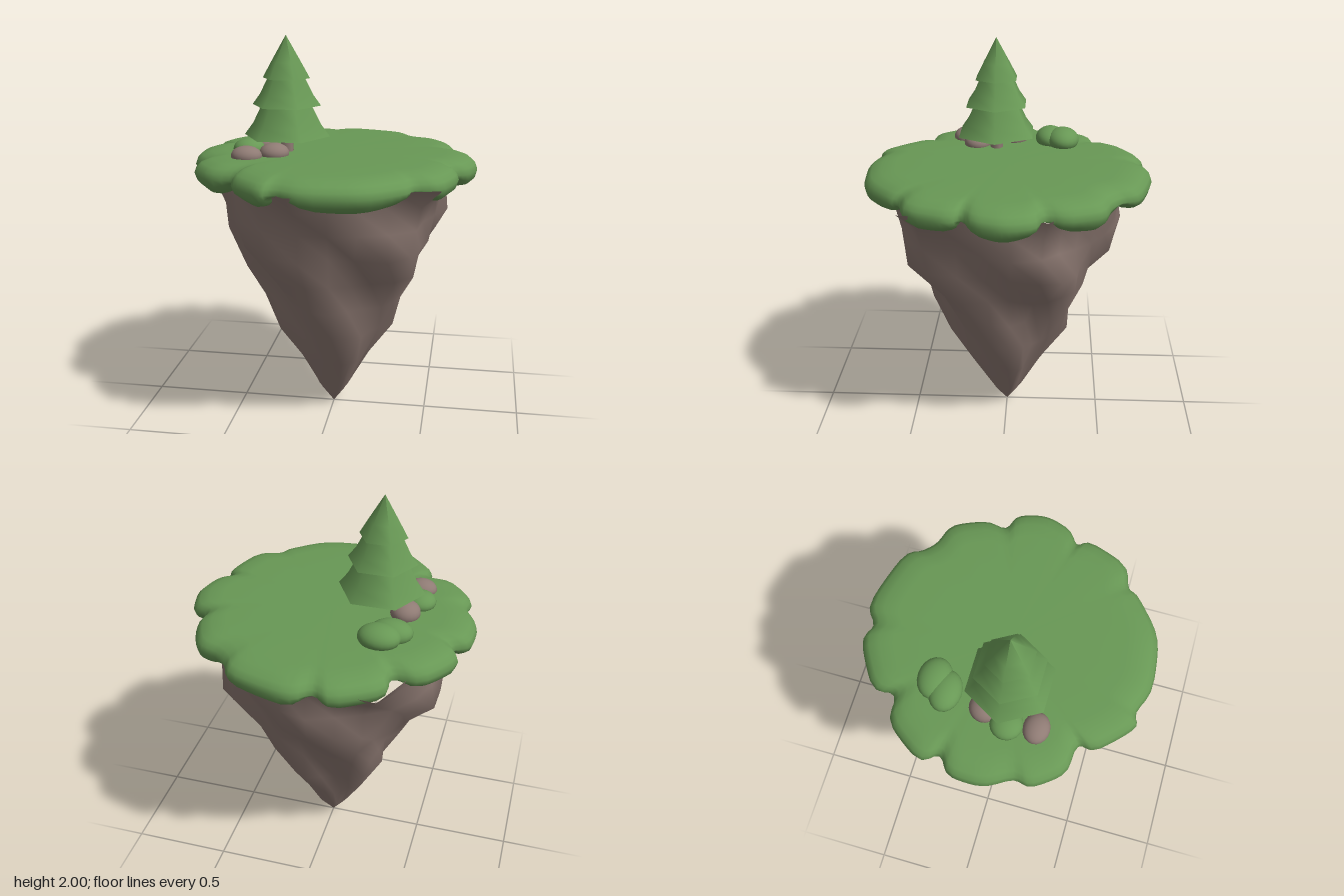
import * as THREE from 'three';

const grassGreen = new THREE.MeshStandardMaterial({ color: 0x689855, name: 'grass green' });
const stoneBrown = new THREE.MeshStandardMaterial({ color: 0x8f7b74, name: 'stone brown' });

// Skin closed loops of points, listed from top to bottom, sharing vertices for smooth normals
function loft(rings) {
  const n = rings[0].length;
  const index = [];
  for (let i = 0; i < rings.length - 1; i++) {
    for (let j = 0; j < n; j++) {
      const k = (j + 1) % n;
      const a = i * n + j, b = i * n + k, c = a + n, d = b + n;
      index.push(a, b, c, b, d, c);
    }
  }
  const geometry = new THREE.BufferGeometry();
  geometry.setAttribute('position', new THREE.Float32BufferAttribute(rings.flat(2), 3));
  geometry.setIndex(index);
  geometry.computeVertexNormals();
  return geometry;
}

function add(parent, name, geometry, material, x = 0, y = 0, z = 0) {
  const mesh = new THREE.Mesh(geometry, material);
  mesh.name = name;
  mesh.position.set(x, y, z);
  parent.add(mesh);
  return mesh;
}

// Rock cone: craggy corners flare out at the top, uneven bulges below
function rockGeometry() {
  const corners = [[10, 0.6], [40, 0.75], [70, 0.6], [99, 0.73], [140, 0.57], [180, 0.73],
    [210, 0.6], [240, 0.76], [268, 0.62], [295, 0.63], [320, 0.62], [341, 0.67]];
  const columns = [];
  corners.forEach(([angle, r], i) => {
    const [next, rNext] = corners[(i + 1) % corners.length];
    const end = next < angle ? next + 360 : next;
    columns.push([angle, r], [(angle + end) / 2, (r + rNext) / 2 - 0.02]);
  });
  // height, mean radius, share of the corner flare, bulge amount
  const rows = [[1.345, 0.64, 1, 0], [1.24, 0.585, 0.5, 0.01], [1.12, 0.56, 0.25, 0.025],
    [0.98, 0.53, 0.15, 0.04], [0.82, 0.435, 0.1, 0.03], [0.66, 0.355, 0.1, 0.025],
    [0.5, 0.3, 0.1, 0.025], [0.3, 0.185, 0.05, 0.015], [0.1, 0.075, 0, 0.005], [0, 0, 0, 0]];
  const rings = rows.map(([y, mean, flare, bulge], i) => columns.map(([deg, r]) => {
    const t = THREE.MathUtils.degToRad(deg);
    const wave = Math.sin(5 * t + i * 1.3) + 0.6 * Math.sin(8 * t - i * 2.1);
    const radius = mean + (r - 0.64) * flare + bulge * wave;
    return [Math.cos(t) * radius, y, Math.sin(t) * radius];
  }));
  return loft(rings);
}

// Grass: scalloped outline as [x, z, droop], droop being 0 in the notches
function grassGeometry() {
  const outline = [[0.73, -0.01, 1], [0.7, -0.14, 0.7], [0.61, -0.2, 0], [0.61, -0.33, 0.8],
    [0.55, -0.46, 1], [0.435, -0.515, 0.6], [0.37, -0.57, 0], [0.28, -0.67, 0.8], [0.06, -0.73, 1],
    [-0.09, -0.68, 0], [-0.22, -0.69, 0.9], [-0.37, -0.6, 0.8], [-0.41, -0.465, 0],
    [-0.565, -0.42, 0.8], [-0.66, -0.29, 0.9], [-0.635, -0.165, 0], [-0.715, -0.08, 0.8],
    [-0.72, 0.04, 1], [-0.65, 0.2, 0], [-0.65, 0.3, 0.7], [-0.565, 0.41, 1], [-0.41, 0.45, 0],
    [-0.39, 0.55, 0.7], [-0.27, 0.67, 0.9], [-0.17, 0.675, 0], [0.02, 0.72, 0.9], [0.22, 0.69, 1],
    [0.395, 0.57, 0.7], [0.455, 0.49, 0], [0.59, 0.41, 0.9], [0.64, 0.275, 0.8], [0.62, 0.18, 0],
    [0.7, 0.1, 0.8]];
  const curve = new THREE.CatmullRomCurve3(
    outline.reverse().map(([x, z, droop]) => new THREE.Vector3(x, droop, z)), true);
  const points = curve.getPoints(132).slice(0, -1);
  // scale of the outline, height, fall per unit of droop
  const section = [[0, 1.42, 0], [0.5, 1.42, 0], [0.78, 1.418, 0], [0.88, 1.41, 0],
    [0.95, 1.393, 0], [0.985, 1.37, 0], [1, 1.345, 0.005], [0.985, 1.335, 0.035],
    [0.94, 1.335, 0.065], [0.88, 1.335, 0.075], [0.8, 1.335, 0.06], [0.7, 1.335, 0]];
  return loft(section.map(([s, y, fall]) =>
    points.map(p => [p.x * s, y - fall * Math.max(p.y, 0), p.z * s])));
}

// Six-sided fir with three flared tiers
function createTree() {
  const tree = new THREE.Group();
  tree.name = 'tree';
  tree.position.set(-0.23, 0, 0.065);
  add(tree, 'trunk', new THREE.CylinderGeometry(0.03, 0.035, 0.18, 6), stoneBrown, 0, 1.48, 0);
  const tiers = [
    [[0.22, 1.5], [0.175, 1.56], [0.12, 1.67]],
    [[0.175, 1.655], [0.135, 1.71], [0.085, 1.81]],
    [[0.12, 1.79], [0.075, 1.87], [0, 2]],
  ];
  tiers.forEach((tier, i) => {
    const [rim, y] = tier[0];
    const skirt = tier.map(([r, h]) => new THREE.Vector2(r, h));
    add(tree, `foliageTier${i + 1}`, new THREE.LatheGeometry(skirt, 6, Math.PI / 2), grassGreen);
    const under = [new THREE.Vector2(0, y + 0.02), new THREE.Vector2(rim, y)];
    add(tree, `foliageUnderside${i + 1}`, new THREE.LatheGeometry(under, 6, Math.PI / 2), grassGreen);
  });
  return tree;
}

export function createModel() {
  const island = new THREE.Group();
  island.name = 'floatingIsland';
  add(island, 'rock', rockGeometry(), stoneBrown);
  add(island, 'grass', grassGeometry(), grassGreen);
  island.add(createTree());

  // Bushes and boulders: centre, then half sizes
  const blob = new THREE.SphereGeometry(1, 20, 14);
  const bushes = [[-0.3, 1.445, -0.285, 0.105, 0.062, 0.085],
    [-0.345, 1.44, -0.22, 0.105, 0.06, 0.08], [-0.42, 1.435, 0.1, 0.08, 0.05, 0.08]];
  const boulders = [[-0.4, 1.425, 0.24, 0.078, 0.05, 0.065],
    [-0.275, 1.43, 0.17, 0.075, 0.05, 0.07], [-0.37, 1.435, -0.02, 0.075, 0.058, 0.075]];
  bushes.forEach(([x, y, z, ...size], i) =>
    add(island, `bush${i + 1}`, blob, grassGreen, x, y, z).scale.set(...size));
  boulders.forEach(([x, y, z, ...size], i) =>
    add(island, `boulder${i + 1}`, blob, stoneBrown, x, y, z).scale.set(...size));
  return island;
}
